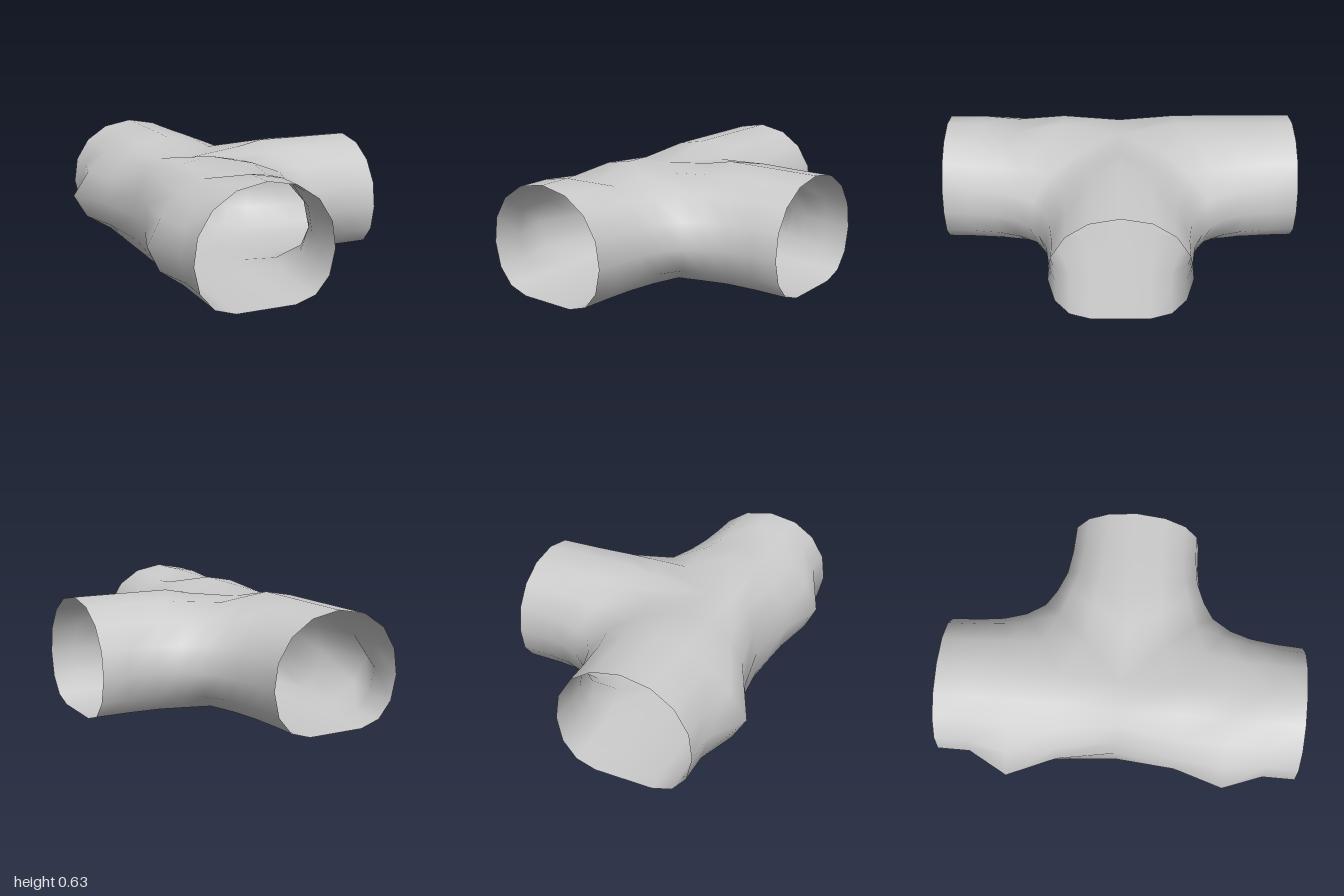
import * as THREE from 'three';
import { mergeVertices } from 'three/addons/utils/BufferGeometryUtils.js';

const AXIS = -0.255; // x of the main tube's centre line
const END = 0.745;   // x of the branch opening

// Half cross-section from crown to floor centre: [half width, height]
const PROFILE = [[0, 0.63], [0.16, 0.60], [0.28, 0.52], [0.355, 0.40], [0.375, 0.26],
  [0.345, 0.125], [0.27, 0.035], [0.16, 0], [0, 0]];
const WIDEST = 0.375;

// Stations along the main tube, and how the back wall and crown deviate there
const STATIONS = [1, 0.82, 0.6, 0.33, 0];
const BULGE = [0, 0, 0.05, 0.38, 1, 0.6, 0, 0, 0];
const PINCH = [0, 0, 0.045, 0.07, 0.06, 0.03, 0, 0, 0];
const SAG = [1, 0.4];

// Plan of the crown line and of the widest fillet, from main opening to branch opening
const CROWN = [...STATIONS.map((z) => [AXIS, z]), [0.05, 0], [0.2, 0], [0.45, 0], [END, 0]];
const FILLET = [[0.12, 1], [0.13, 0.85], [0.15, 0.71], [0.19, 0.6], [0.26, 0.51],
  [0.34, 0.45], [0.46, 0.4], [0.6, 0.38], [END, 0.375]];

// Crown dip at a station of the crown line; side is the sign of z
function dip(i, side) {
  if (i === 2 && side > 0) return 0.055;
  if (i === 4) return 0.07;
  return i === 5 ? 0.03 : 0;
}

// Sheet of quads through rows of points
function addSheet(positions, rows, flip) {
  for (let i = 0; i < rows.length - 1; i++) {
    for (let k = 0; k < rows[i].length - 1; k++) {
      const a = rows[i][k], b = rows[i + 1][k], c = rows[i + 1][k + 1], d = rows[i][k + 1];
      const corners = flip ? [a, c, b, a, d, c] : [a, b, c, a, c, d];
      corners.forEach((p) => positions.push(...p));
    }
  }
}

// Back wall: half tube running the whole length
function wallRows() {
  const front = STATIONS.map((z, i) => [z, i, 1]);
  const back = STATIONS.slice(0, -1).map((z, i) => [-z, i, -1]).reverse();
  return [...front, ...back].map(([z, i, side]) => PROFILE.map(([w, y], k) => {
    const out = i === 2 ? BULGE[k] * (side > 0 ? 0.085 : 0.12) : i === 4 ? -PINCH[k] : 0;
    return [AXIS - w - out, y - dip(i, side) * (SAG[k] ?? 0), z];
  }));
}

// Rounded corner: blends a main opening into the branch
function cornerRows(side) {
  return CROWN.map(([cx, cz], i) => PROFILE.map(([w, y], k) => {
    const s = w / WIDEST;
    return [
      cx + (FILLET[i][0] - cx) * s,
      y - dip(i, side) * (SAG[k] ?? 0),
      side * (cz + (FILLET[i][1] - cz) * s),
    ];
  }));
}

export function createModel() {
  const positions = [];
  addSheet(positions, wallRows(), false);
  addSheet(positions, cornerRows(1), true);
  addSheet(positions, cornerRows(-1), false);

  // Weld the sheets so shading runs smoothly across their joins
  let geometry = new THREE.BufferGeometry();
  geometry.setAttribute('position', new THREE.Float32BufferAttribute(positions, 3));
  geometry = mergeVertices(geometry, 1e-4);
  geometry.computeVertexNormals();

  const tube = new THREE.Mesh(geometry,
    new THREE.MeshStandardMaterial({ color: 0xcccccc, side: THREE.DoubleSide }));
  tube.name = 'teeJunctionTunnel';
  const group = new THREE.Group();
  group.name = 'tunnelJunction';
  group.add(tube);
  return group;
}
